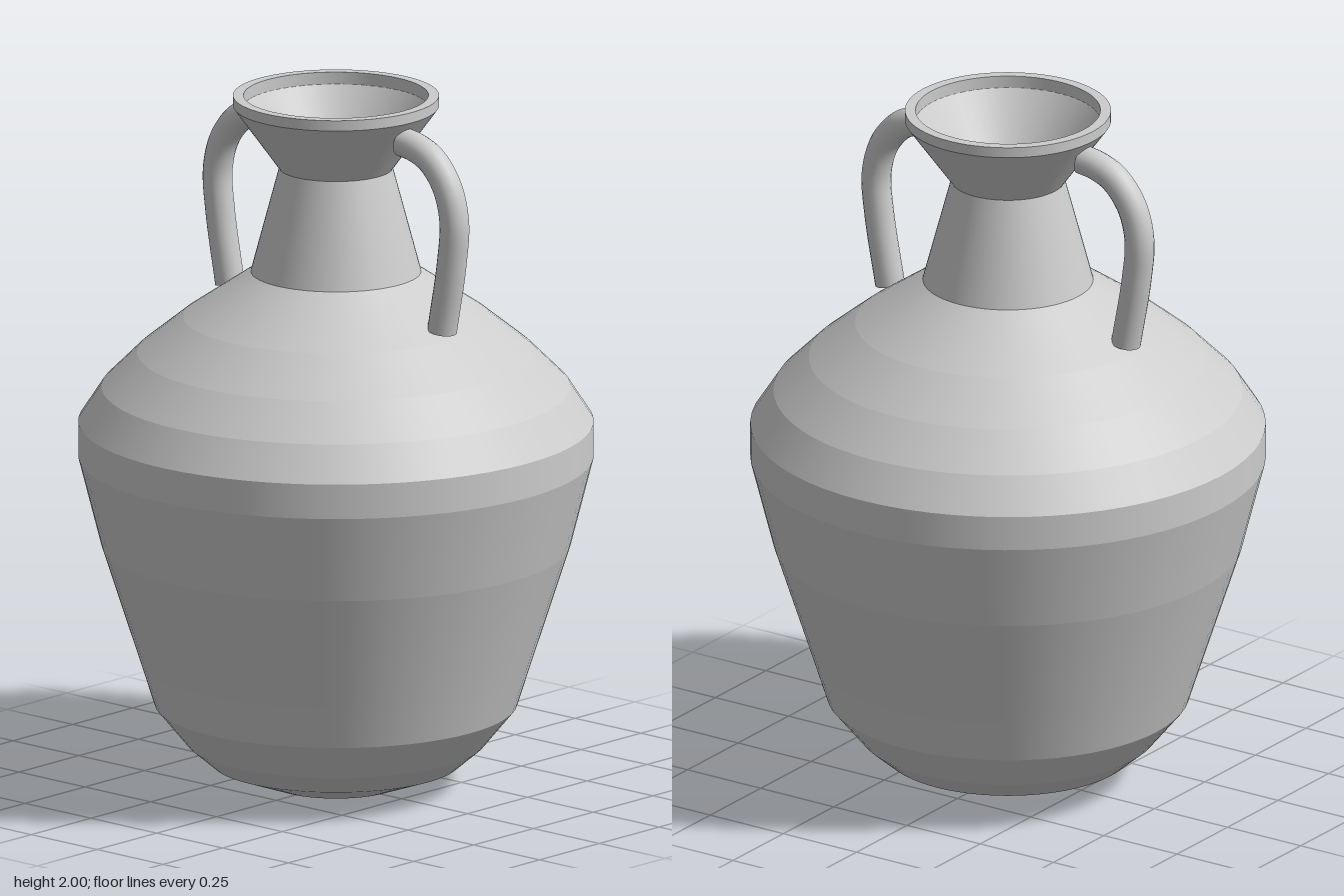
import * as THREE from 'three';
import { mergeGeometries } from 'three/addons/utils/BufferGeometryUtils.js';

const clay = new THREE.MeshStandardMaterial({ color: 0xcccccc });
clay.name = 'plain clay';

// Turned shape whose bands are smooth around but meet at sharp rings
function turned(name, profile) {
  const bands = [];
  for (let i = 0; i < profile.length - 1; i++) {
    const pair = [profile[i], profile[i + 1]].map(([r, y]) => new THREE.Vector2(r, y));
    bands.push(new THREE.LatheGeometry(pair, 64));
  }
  const mesh = new THREE.Mesh(mergeGeometries(bands), clay);
  mesh.name = name;
  return mesh;
}

// Round tube handle with closed ends, on side +1 or -1
function handle(name, side) {
  const group = new THREE.Group();
  group.name = name;
  const radius = 0.042;
  const path = new THREE.CatmullRomCurve3(
    [[0.255, 1.908], [0.305, 1.9], [0.365, 1.873], [0.422, 1.805], [0.449, 1.71], [0.44, 1.59], [0.403, 1.385]]
      .map(([x, y]) => new THREE.Vector3(side * x, y, 0))
  );
  const tube = new THREE.Mesh(new THREE.TubeGeometry(path, 32, radius, 20), clay);
  tube.name = name + 'Tube';
  group.add(tube);
  for (const t of [0, 1]) {
    const cap = new THREE.Mesh(new THREE.CircleGeometry(radius, 20), clay);
    cap.name = name + 'Cap';
    const out = path.getTangentAt(t).multiplyScalar(t ? 1 : -1);
    cap.position.copy(path.getPointAt(t));
    cap.quaternion.setFromUnitVectors(new THREE.Vector3(0, 0, 1), out);
    group.add(cap);
  }
  return group;
}

export function createModel() {
  const model = new THREE.Group();
  model.name = 'amphora';

  // Outer wall, from the foot up to the neck
  model.add(turned('body', [
    [0, 0], [0.185, 0.005], [0.35, 0.065], [0.42, 0.125], [0.51, 0.235], [0.55, 0.36],
    [0.66, 0.7], [0.725, 0.955], [0.725, 1.055], [0.66, 1.155], [0.56, 1.255],
    [0.43, 1.36], [0.24, 1.49],
  ]));
  model.add(turned('neck', [[0.24, 1.49], [0.16, 1.79]]));

  // Flared mouth with a flat lip and a small inner step
  model.add(turned('mouth', [
    [0.16, 1.79], [0.29, 1.97], [0.29, 2], [0.26, 2], [0.26, 1.965], [0.138, 1.79],
  ]));

  // Hollow inside, down to the floor
  model.add(turned('interior', [
    [0.138, 1.79], [0.21, 1.48], [0.41, 1.34], [0.63, 1.14], [0.69, 1.04], [0.69, 0.96],
    [0.48, 0.24], [0.33, 0.09], [0.18, 0.03], [0, 0.03],
  ]));

  model.add(handle('leftHandle', 1), handle('rightHandle', -1));
  return model;
}
